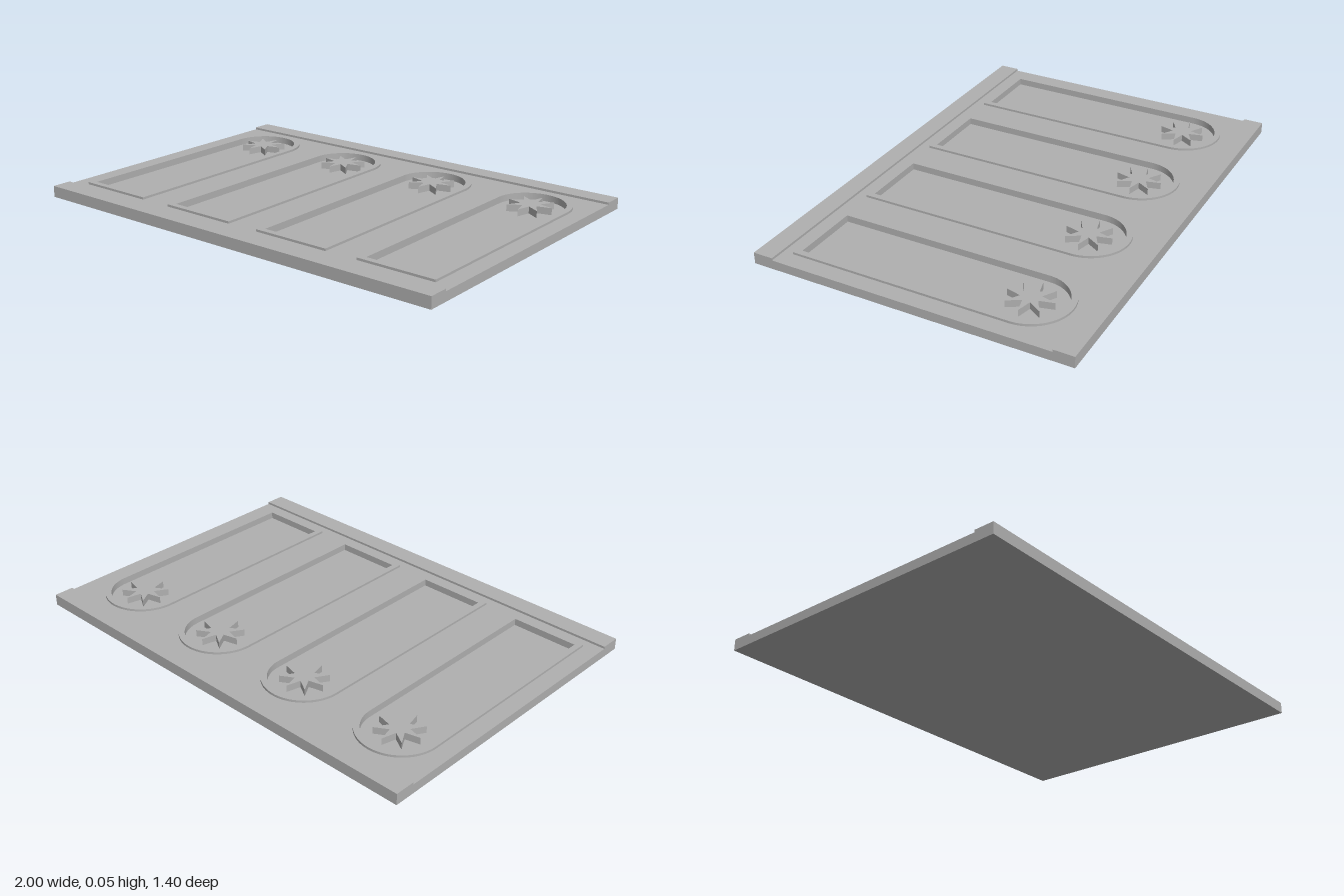
import * as THREE from 'three';

const FLOOR = 0.02, PLATE = 0.04, TOP = 0.05;
const ARCH_Z = -0.395, END_Z = 0.54, RADIUS = 0.15;

// Arch-topped outline; shape y is -z
function traceArch(path, x, grow) {
  const r = RADIUS + grow;
  path.moveTo(x - r, -END_Z - grow);
  path.lineTo(x + r, -END_Z - grow);
  path.lineTo(x + r, -ARCH_Z);
  path.absarc(x, -ARCH_Z, r, 0, Math.PI, false);
  path.closePath();
  return path;
}

// Eight-pointed star
function starShape(x) {
  const points = [];
  for (let i = 0; i < 16; i++) {
    const a = (i / 16) * Math.PI * 2;
    const r = i % 2 ? 0.042 : 0.102;
    points.push(new THREE.Vector2(x + r * Math.cos(a), -ARCH_Z + r * Math.sin(a)));
  }
  return new THREE.Shape(points);
}

export function createModel() {
  const group = new THREE.Group();
  const stone = new THREE.MeshStandardMaterial({ color: 0xb0b0b0 });
  stone.name = 'grey stone';

  const add = (name, geometry) => {
    const mesh = new THREE.Mesh(geometry, stone);
    mesh.name = name;
    group.add(mesh);
    return mesh;
  };

  // Extrude a flat outline upward between two heights
  const layer = (name, shape, y0, y1) => {
    const geometry = new THREE.ExtrudeGeometry(shape, {
      depth: y1 - y0, bevelEnabled: false, curveSegments: 32,
    });
    geometry.rotateX(-Math.PI / 2);
    geometry.translate(0, y0, 0);
    return add(name, geometry);
  };

  const centres = [-0.75, -0.25, 0.25, 0.75];

  // Base and the pierced plate that forms the recesses
  add('baseSlab', new THREE.BoxGeometry(2, FLOOR, 1.4)).position.y = FLOOR / 2;
  const plate = new THREE.Shape();
  plate.moveTo(-1, -0.7);
  plate.lineTo(1, -0.7);
  plate.lineTo(1, 0.7);
  plate.lineTo(-1, 0.7);
  plate.closePath();
  for (const x of centres) plate.holes.push(traceArch(new THREE.Path(), x, 0));
  layer('piercedPlate', plate, FLOOR, PLATE);

  // Raised rails along the front and back edges
  for (const side of [-1, 1]) {
    const rail = add(side > 0 ? 'frontRail' : 'backRail',
      new THREE.BoxGeometry(2, TOP - PLATE, 0.088));
    rail.position.set(0, (TOP + PLATE) / 2, side * 0.656);
  }

  // Raised arch borders and the stars inside them
  centres.forEach((x, i) => {
    const rim = traceArch(new THREE.Shape(), x, 0.026);
    rim.holes.push(traceArch(new THREE.Path(), x, 0));
    layer(`archBorder${i + 1}`, rim, PLATE, TOP);
    layer(`star${i + 1}`, starShape(x), FLOOR, TOP);
  });

  return group;
}
